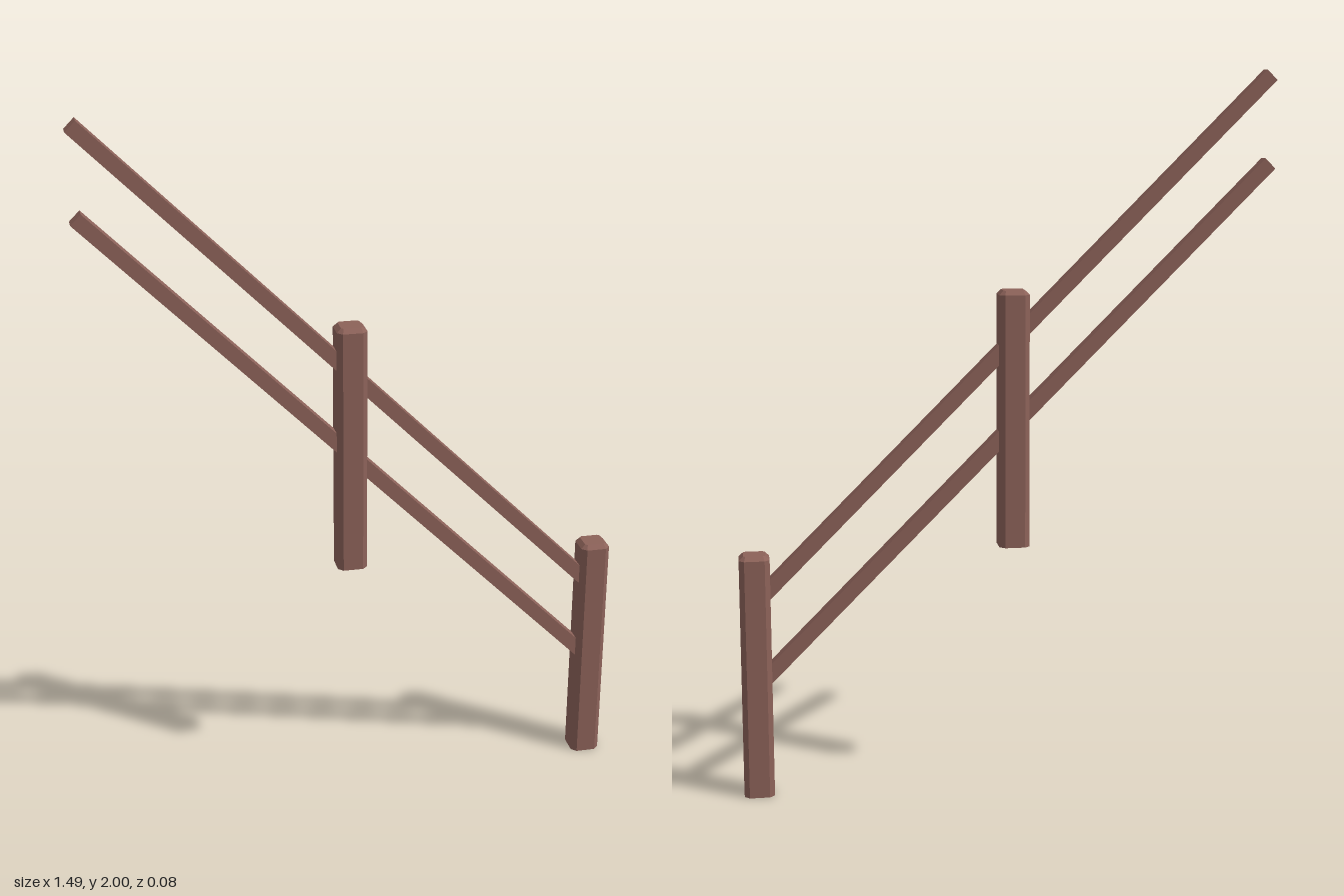
import * as THREE from 'three';

// Eight-sided ring: a square of half-width r with its corners cut by c
function ring(r, c, y) {
  const k = r - c;
  return [[r, -k], [r, k], [k, r], [-k, r], [-r, k], [-r, -k], [-k, -r], [k, -r]]
    .map(([x, z]) => new THREE.Vector3(x, y, z));
}

// Post with chamfered corners and a chamfered top, lofted through rings
function postGeometry(height) {
  const r = 0.042, c = 0.014, t = 0.012;
  const rings = [ring(r, c, 0), ring(r, c, height - t), ring(r - t, 0.006, height)];
  const points = [];
  for (let s = 0; s < rings.length - 1; s++) {
    const a = rings[s], b = rings[s + 1];
    for (let i = 0; i < 8; i++) {
      const j = (i + 1) % 8;
      points.push(a[i], b[i], b[j], a[i], b[j], a[j]);
    }
  }
  // End caps
  const low = rings[0], high = rings[2];
  for (let i = 1; i < 7; i++) {
    points.push(low[0], low[i], low[i + 1]);
    points.push(high[0], high[i + 1], high[i]);
  }
  const geometry = new THREE.BufferGeometry().setFromPoints(points);
  geometry.computeVertexNormals();
  return geometry;
}

export function createModel() {
  const group = new THREE.Group();
  const wood = new THREE.MeshStandardMaterial({ color: 0x8c6259 });
  wood.name = 'brownWood';

  function add(name, geometry, x, y) {
    const mesh = new THREE.Mesh(geometry, wood);
    mesh.name = name;
    mesh.position.set(x, y, 0);
    group.add(mesh);
    return mesh;
  }

  // Posts stepping up the slope
  add('lowerPost', postGeometry(0.69), 0.704, 0);
  add('upperPost', postGeometry(0.717), -0.017, 0.69);

  // Square rails at 45 degrees, ending inside the lower post
  const startX = -0.732, endX = 0.69, run = endX - startX;
  [['topRail', 1.986], ['bottomRail', 1.746]].forEach(([name, startY]) => {
    const rail = add(name, new THREE.BoxGeometry(run * Math.SQRT2, 0.04, 0.04),
      (startX + endX) / 2, startY - run / 2);
    rail.rotation.z = -Math.PI / 4;
  });

  return group;
}
